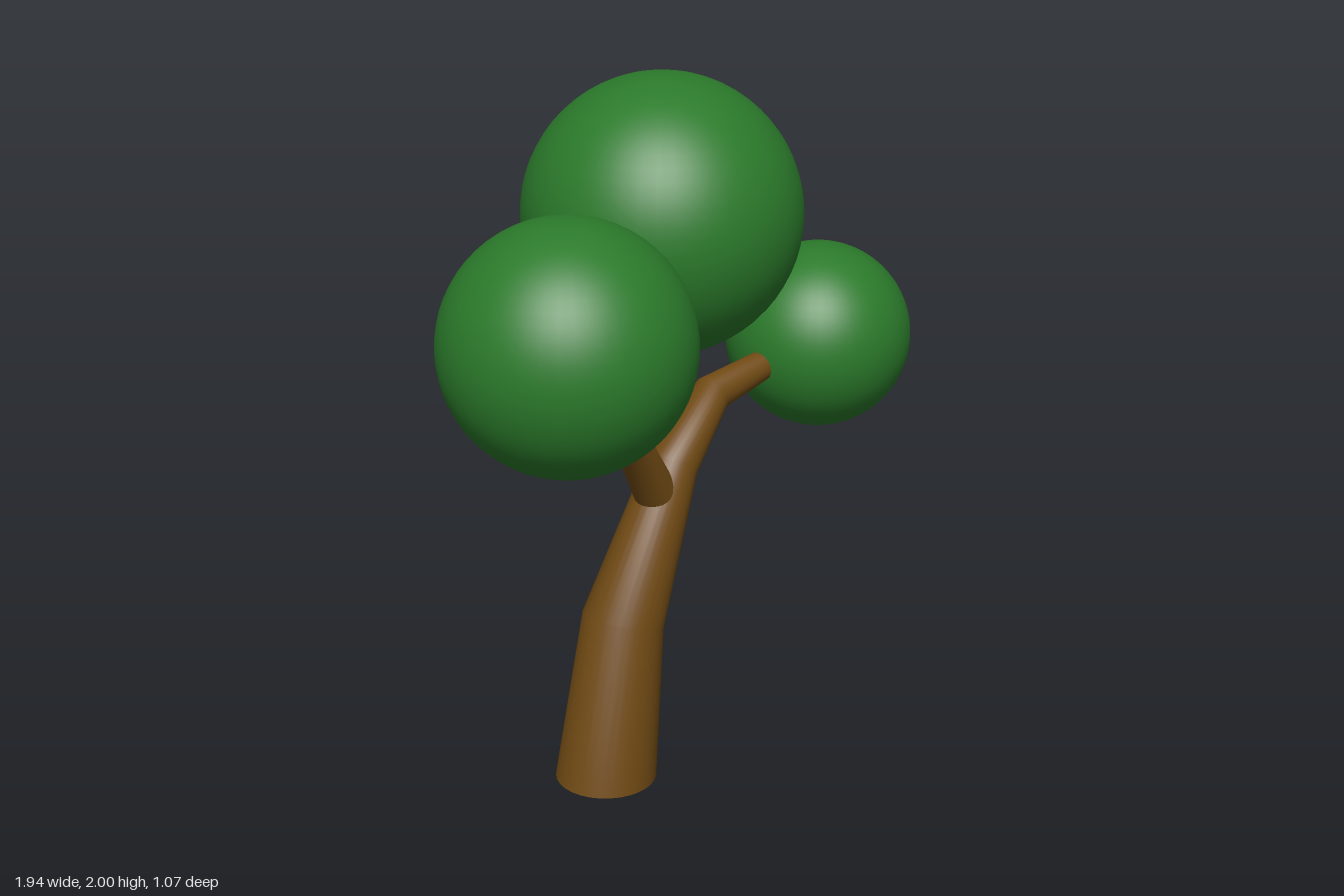
import * as THREE from 'three';

const bark = new THREE.MeshStandardMaterial({ color: 0x704a14 });
const leaf = new THREE.MeshStandardMaterial({ color: 0x2b7a2b });
const SIDES = 32;

// Tapered limb through points [x, y, z, radius], with mitred rings and flat end caps
function limb(name, pts, startDir) {
  const p = pts.map(([x, y, z]) => new THREE.Vector3(x, y, z));
  const last = p.length - 1;
  const dir = (i) => p[i + 1].clone().sub(p[i]).normalize();
  const pos = [], idx = [];

  p.forEach((c, i) => {
    const before = dir(Math.max(i - 1, 0)), after = dir(Math.min(i, last - 1));
    const t = i === 0 && startDir ? startDir : before.add(after).normalize();
    const u = new THREE.Vector3(0, 0, 1).addScaledVector(t, -t.z).normalize();
    const v = t.clone().cross(u);
    for (let k = 0; k < SIDES; k++) {
      const a = (k / SIDES) * Math.PI * 2;
      const q = c.clone()
        .addScaledVector(u, Math.cos(a) * pts[i][3])
        .addScaledVector(v, Math.sin(a) * pts[i][3]);
      pos.push(q.x, q.y, q.z);
    }
  });
  for (let i = 0; i < last; i++) {
    for (let k = 0; k < SIDES; k++) {
      const a = i * SIDES + k, b = i * SIDES + ((k + 1) % SIDES);
      idx.push(a, b, b + SIDES, a, b + SIDES, a + SIDES);
    }
  }
  // caps use their own vertices so their edges stay sharp
  for (const [ring, flip] of [[0, true], [last, false]]) {
    const base = pos.length / 3;
    pos.push(...pos.slice(ring * SIDES * 3, (ring + 1) * SIDES * 3));
    for (let k = 1; k < SIDES - 1; k++) {
      if (flip) idx.push(base, base + k + 1, base + k);
      else idx.push(base, base + k, base + k + 1);
    }
  }
  const geo = new THREE.BufferGeometry();
  geo.setAttribute('position', new THREE.Float32BufferAttribute(pos, 3));
  geo.setIndex(idx);
  geo.computeVertexNormals();
  const mesh = new THREE.Mesh(geo, bark);
  mesh.name = name;
  return mesh;
}

// Round ball of leaves
function foliage(name, x, y, z, r) {
  const mesh = new THREE.Mesh(new THREE.SphereGeometry(r, 48, 32), leaf);
  mesh.name = name;
  mesh.position.set(x, y, z);
  return mesh;
}

export function createModel() {
  const tree = new THREE.Group();
  tree.name = 'tree';

  // Trunk bends over into the left bough
  tree.add(limb('trunk', [
    [-0.31, 0, 0.038, 0.149],
    [-0.228, 0.475, 0.038, 0.121],
    [0.0, 0.895, 0.038, 0.077],
    [0.18, 1.06, 0.04, 0.058],
    [0.6, 1.1, 0.05, 0.036],
  ], new THREE.Vector3(0, 1, 0)));

  // Side branch and the twig that forks from it
  tree.add(limb('branch', [
    [-0.065, 0.8, 0.04, 0.066],
    [-0.21, 1.03, 0.06, 0.052],
    [-0.36, 1.137, 0.11, 0.036],
    [-0.53, 1.24, 0.165, 0.028],
  ]));
  tree.add(limb('twig', [
    [-0.25, 1.05, 0.07, 0.036],
    [-0.193, 1.19, 0.055, 0.03],
    [-0.095, 1.29, 0.035, 0.026],
    [-0.01, 1.37, 0.0, 0.022],
  ]));

  // Leaf crowns
  tree.add(foliage('topFoliage', 0.15, 1.588, -0.125, 0.412));
  tree.add(foliage('rightFoliage', -0.622, 1.465, 0.187, 0.348));
  tree.add(foliage('leftFoliage', 0.681, 1.115, 0.058, 0.285));
  return tree;
}
